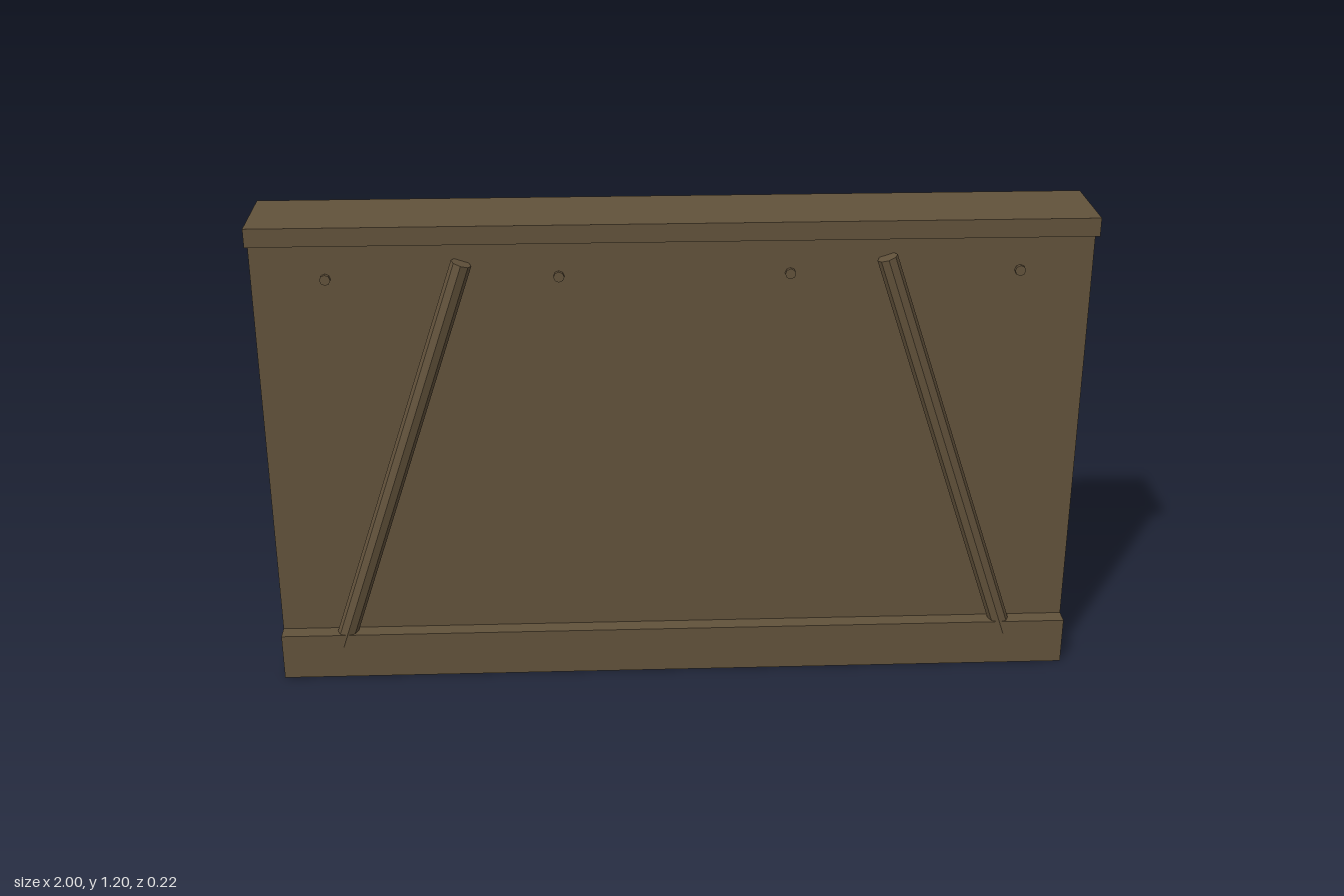
import * as THREE from 'three';

export function createModel() {
  const model = new THREE.Group();
  const wood = new THREE.MeshStandardMaterial({ color: 0x62523b });
  wood.name = 'brown wood';
  const timber = wood.clone();
  timber.flatShading = true;
  timber.name = 'brown timber';

  const add = (name, geometry, x, y, z, material = wood) => {
    const mesh = new THREE.Mesh(geometry, material);
    mesh.name = name;
    mesh.position.set(x, y, z);
    model.add(mesh);
    return mesh;
  };
  const box = (name, w, h, d, x, y, z) => add(name, new THREE.BoxGeometry(w, h, d), x, y, z);

  // Wall core, overhanging cap and front kickboard
  box('wallPanel', 2, 1.16, 0.138, 0, 0.58, 0);
  box('topCap', 2, 0.045, 0.222, 0, 1.1775, 0);
  box('frontBaseBoard', 2, 0.12, 0.041, 0, 0.06, 0.0895);

  // Back planks, each slightly out of plumb
  const tilts = [0.003, 0.011, 0.006, 0.008, -0.006, -0.002];
  tilts.forEach((tilt, i) => {
    const plank = box('backPlank' + (i + 1), 0.212, 1.122, 0.037, 0.55 - i * 0.274, 0.577, -0.0865);
    plank.rotation.z = tilt;
  });

  // Leaning round braces on the front
  for (const side of [-1, 1]) {
    const bottom = new THREE.Vector3(side * 0.845, 0.085, 0.086);
    const top = new THREE.Vector3(side * 0.503, 1.102, 0.086);
    const axis = top.clone().sub(bottom);
    const brace = add(side < 0 ? 'rightBrace' : 'leftBrace',
      new THREE.CylinderGeometry(0.025, 0.025, axis.length(), 8),
      (bottom.x + top.x) / 2, (bottom.y + top.y) / 2, 0.086, timber);
    brace.quaternion.setFromUnitVectors(new THREE.Vector3(0, 1, 0), axis.normalize());
  }

  // Bolts passing through the wall
  for (let i = 0; i < 4; i++) {
    const bolt = add('bolt' + (i + 1), new THREE.CylinderGeometry(0.013, 0.013, 0.158, 8),
      -0.825 + i * 0.55, 1.061, 0, timber);
    bolt.rotation.x = Math.PI / 2;
  }
  return model;
}
